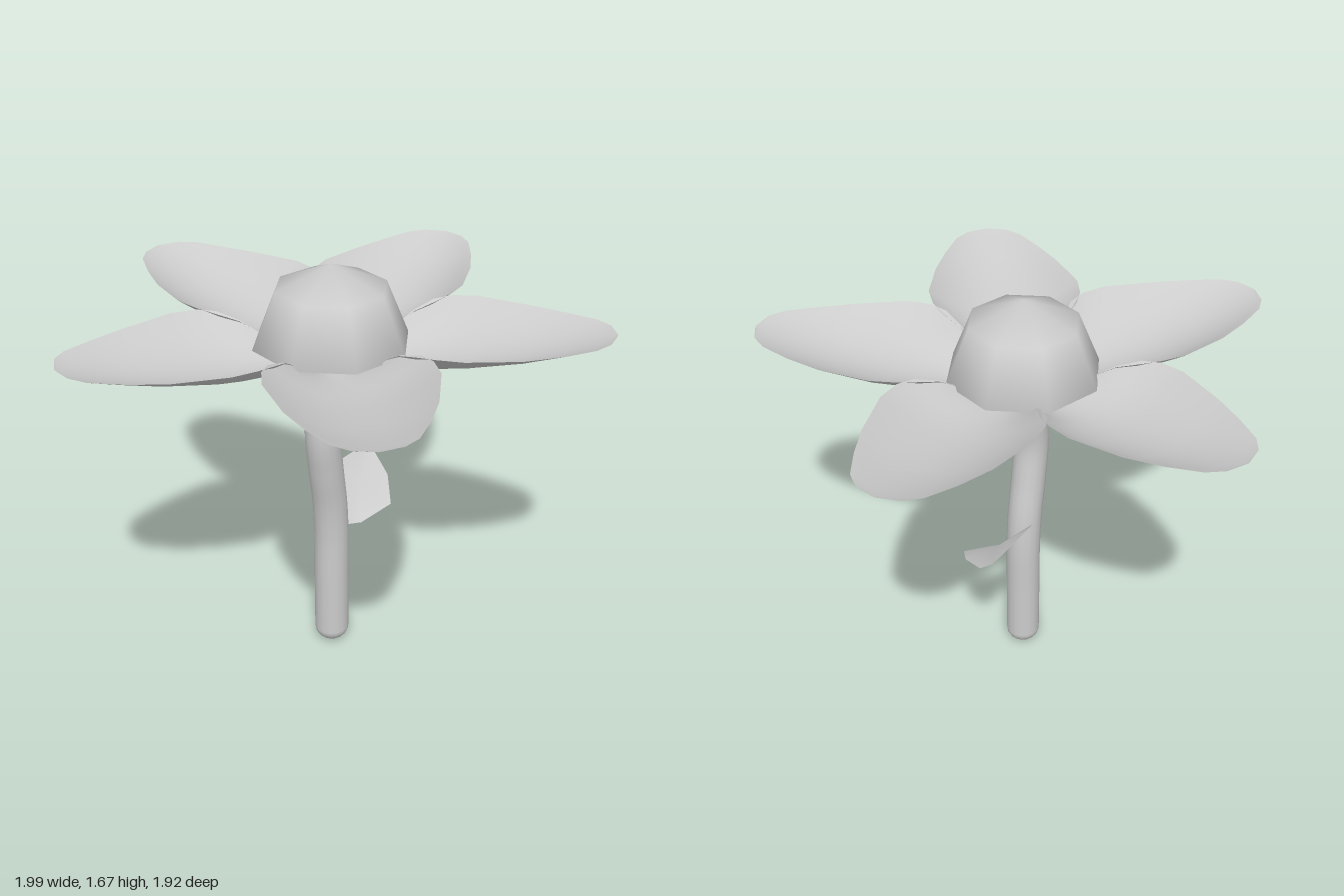
import * as THREE from 'three';

const V = (x, y, z) => new THREE.Vector3(x, y, z);
const material = new THREE.MeshStandardMaterial({ color: 0xcccccc });
const thin = new THREE.MeshStandardMaterial({ color: 0xcccccc, side: THREE.DoubleSide });
const CENTER_Z = 0.083;

function add(parent, name, geometry, mat = material) {
  const mesh = new THREE.Mesh(geometry, mat);
  mesh.name = name;
  parent.add(mesh);
  return mesh;
}

function surface(points, index) {
  const g = new THREE.BufferGeometry().setFromPoints(points);
  g.setIndex(index);
  g.computeVertexNormals();
  return g;
}

// Cupped petal along +x: each station is [distance, half width, spine height, edge height]
function petalGeometry() {
  const stations = [
    [0.13, 0.09, 1.29, 1.30], [0.2, 0.145, 1.295, 1.36], [0.28, 0.21, 1.303, 1.42],
    [0.35, 0.27, 1.31, 1.447], [0.42, 0.298, 1.318, 1.456], [0.52, 0.305, 1.332, 1.457],
    [0.72, 0.255, 1.37, 1.453], [0.855, 0.2, 1.405, 1.456], [0.97, 0.14, 1.441, 1.462],
    [1.02, 0.085, 1.457, 1.465], [1.043, 0.002, 1.466, 1.466],
  ];
  const across = 12, points = [], index = [];
  stations.forEach(([r, w, spine, edge], i) => {
    for (let j = 0; j <= across; j++) {
      const s = (j / across) * 2 - 1;
      points.push(V(r, spine + (edge - spine) * s * s, s * w));
      if (i && j) {
        const d = i * (across + 1) + j, c = d - 1, b = d - across - 1, a = b - 1;
        index.push(a, b, c, b, d, c);
      }
    }
  });
  return surface(points, index);
}

// Stem tube with rounded ends
function buildStem(group) {
  const stem = new THREE.Group();
  stem.name = 'stem';
  group.add(stem);
  const path = new THREE.CatmullRomCurve3([
    V(0, 0.06, 0.09), V(0, 0.3, 0.09), V(0, 0.53, 0.09), V(0, 0.68, 0.103), V(0, 0.84, 0.133),
    V(0, 1.0, 0.155), V(0, 1.15, 0.138), V(0, 1.32, 0.1),
  ]);
  add(stem, 'stemTube', new THREE.TubeGeometry(path, 40, 0.07, 16));
  const cap = (name, y, z, sign) => {
    const end = add(stem, name, new THREE.SphereGeometry(0.07, 16, 6, 0, Math.PI * 2, sign > 0 ? 0 : Math.PI / 2, Math.PI / 2));
    end.position.set(0, y, z);
    end.scale.y = 0.85;
  };
  cap('stemBottom', 0.06, 0.09, -1);
  cap('stemTop', 1.32, 0.1, 1);
}

// Tilted leaf: a shallow fan around its middle
function leafGeometry() {
  const outline = [
    V(0.02, 0.54, 0.06), V(0.09, 0.542, 0), V(0.16, 0.58, -0.13), V(0.09, 0.645, -0.24),
    V(-0.02, 0.7, -0.32), V(-0.06, 0.715, -0.29), V(-0.09, 0.725, -0.04), V(-0.07, 0.69, 0.03),
  ];
  const n = outline.length, index = [];
  for (let i = 0; i < n; i++) index.push(n, i, (i + 1) % n);
  return surface([...outline, V(0.025, 0.64, -0.12)], index);
}

export function createModel() {
  const flower = new THREE.Group();
  flower.name = 'flower';

  buildStem(flower);
  add(flower, 'leaf', leafGeometry(), thin);

  // Five petals around the middle
  const petal = petalGeometry();
  for (let i = 0; i < 5; i++) {
    const mesh = add(flower, 'petal' + (i + 1), petal, thin);
    mesh.position.z = CENTER_Z;
    mesh.rotation.y = Math.PI / 2 + (i * Math.PI * 2) / 5;
  }

  // Eight-sided dome with a flat underside
  const dome = add(flower, 'flowerCenter', new THREE.SphereGeometry(0.305, 8, 2, 0, Math.PI * 2, 0, Math.PI / 2));
  dome.position.set(0, 1.365, CENTER_Z);
  const base = add(flower, 'flowerCenterBase', new THREE.CircleGeometry(0.305, 8));
  base.position.copy(dome.position);
  base.rotation.x = Math.PI / 2;

  return flower;
}
